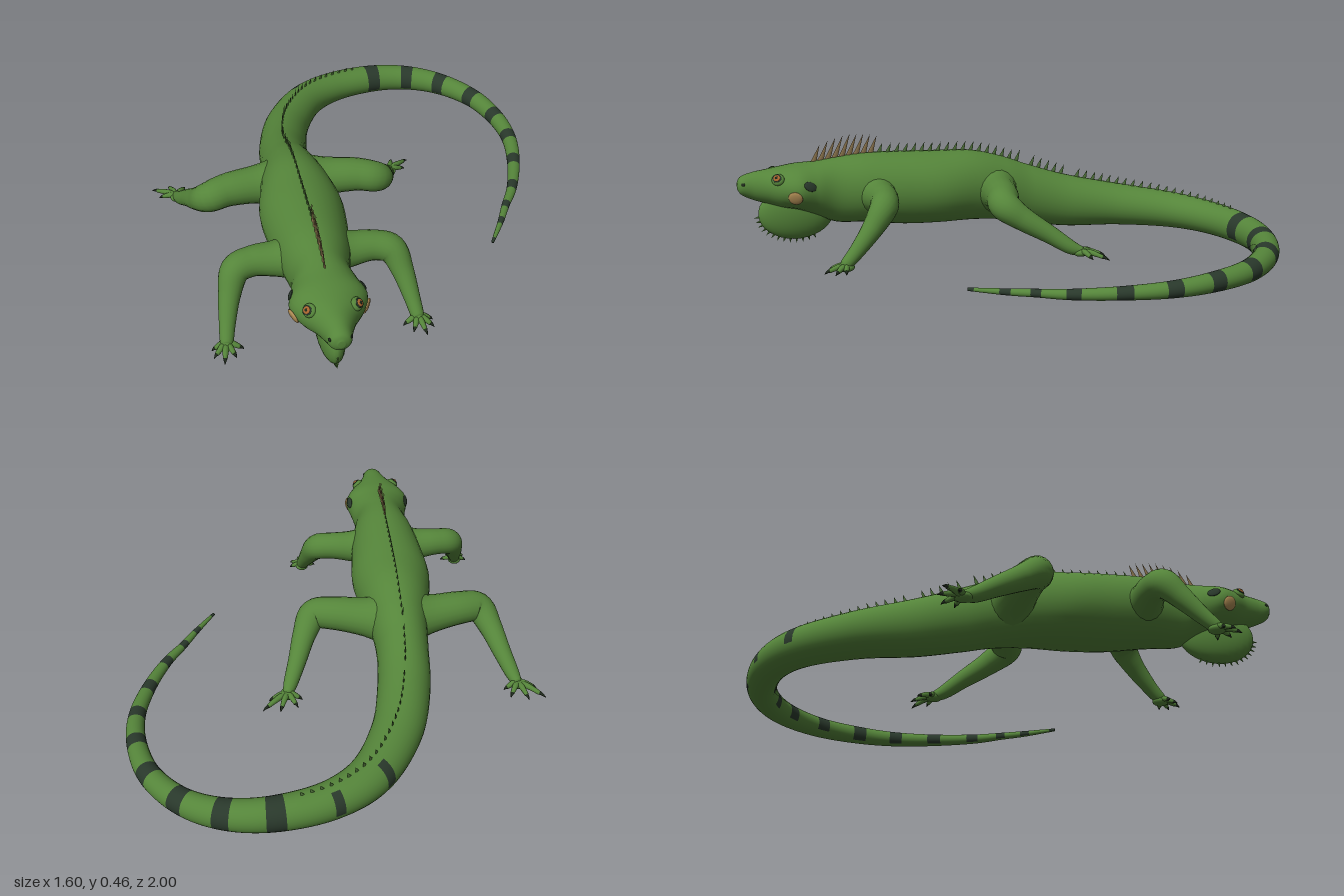
import * as THREE from 'three';
import { mergeGeometries } from 'three/addons/utils/BufferGeometryUtils.js';

const AXIS = -0.25; // x of the body's plane of symmetry
const UP = new THREE.Vector3(0, 1, 0);

const material = (name, color) => {
  const m = new THREE.MeshStandardMaterial({ color });
  m.name = name;
  return m;
};

// Smooth path through stations [x, y, z, halfWidth, halfHeight]; u counts stations
function makePath(stations, flat) {
  const n = stations.length - 1;
  const mid = new THREE.CatmullRomCurve3(stations.map(s => new THREE.Vector3(s[0], s[1], s[2])), false, 'catmullrom');
  const size = new THREE.CatmullRomCurve3(stations.map(s => new THREE.Vector3(s[3], s[4] ?? s[3], 0)), false, 'catmullrom');
  const frame = u => {
    const t = mid.getTangent(u / n);
    if (flat) t.setY(0).normalize();
    const side = new THREE.Vector3().crossVectors(UP, t).normalize();
    return { c: mid.getPoint(u / n), r: size.getPoint(u / n), t, side, up: new THREE.Vector3().crossVectors(t, side) };
  };
  const surface = (u, a) => {
    const f = frame(u);
    return f.c.addScaledVector(f.side, Math.cos(a) * f.r.x).addScaledVector(f.up, Math.sin(a) * f.r.y);
  };
  return { n, frame, surface };
}

// Closed skin round a path; isDark(u, angle) picks the second material
function skin(path, steps, sides, isDark) {
  const pos = [], lists = [[], []], rows = path.n * steps;
  for (let i = 0; i <= rows; i++)
    for (let j = 0; j < sides; j++) pos.push(...path.surface(i / steps, j / sides * Math.PI * 2).toArray());
  for (let i = 0; i < rows; i++)
    for (let j = 0; j < sides; j++) {
      const k = (j + 1) % sides, a = i * sides + j, b = i * sides + k;
      const dark = isDark && isDark((i + 0.5) / steps, (j + 0.5) / sides * Math.PI * 2);
      lists[dark ? 1 : 0].push(a, b, b + sides, a, b + sides, a + sides);
    }
  const start = pos.length / 3, last = rows * sides;
  pos.push(...path.frame(0).c.toArray(), ...path.frame(path.n).c.toArray());
  for (let j = 0; j < sides; j++) {
    const k = (j + 1) % sides;
    lists[0].push(start, k, j);
    lists[isDark ? 1 : 0].push(start + 1, last + j, last + k);
  }
  const g = new THREE.BufferGeometry();
  g.setAttribute('position', new THREE.Float32BufferAttribute(pos, 3));
  g.setIndex([...lists[0], ...lists[1]]);
  if (isDark) {
    g.addGroup(0, lists[0].length, 0);
    g.addGroup(lists[0].length, lists[1].length, 1);
  }
  g.computeVertexNormals();
  return g;
}

export function createModel() {
  const root = new THREE.Group();
  root.name = 'lizard';
  const green = material('skin green', 0x55853a);
  const dark = material('band dark green', 0x29382b);
  const claw = material('claw black green', 0x1f2a1c);
  const tan = material('cheek tan', 0xb08d55);
  const brown = material('crest brown', 0x86704a);
  const olive = material('crest olive', 0x4d7038);
  const amber = material('eye amber', 0xa8652f);

  const add = (name, geometry, mat, parent = root) => {
    const m = new THREE.Mesh(geometry, mat);
    m.name = name;
    parent.add(m);
    return m;
  };

  // Head, trunk and tail; every tail station from FIRST on is the centre of a band
  const FIRST = 16;
  const trunk = [
    [.28, 1, .012, .014], [.28, .985, .036, .036], [.275, .94, .05, .055], [.27, .885, .075, .068],
    [.265, .83, .112, .08], [.262, .77, .135, .09], [.25, .7, .12, .107], [.237, .62, .108, .13],
    [.237, .5, .13, .14], [.225, .35, .15, .148], [.218, .2, .158, .148], [.213, .05, .135, .145],
    [.19, -.08, .112, .135], [.155, -.2, .101, .125],
  ].map(s => [AXIS, ...s]);
  const tail = [
    [-.235, .116, -.37, .1, .11], [-.185, .094, -.58, .094, .089], [-.075, .079, -.78, .082, .075],
    [.075, .071, -.89, .07, .067], [.27, .066, -.936, .061, .062], [.44, .06, -.918, .054, .056],
    [.585, .053, -.84, .047, .049], [.7, .047, -.7, .042, .042], [.757, .042, -.53, .037, .037],
    [.768, .036, -.365, .032, .031], [.735, .03, -.195, .027, .025], [.675, .024, -.03, .021, .02],
    [.61, .021, .085, .016, .015], [.56, .02, .18, .012, .012], [.49, .02, .297, .006, .006],
  ];
  const body = makePath([...trunk, ...tail], true);
  const banded = (u, a) => {
    const k = Math.round(u);
    if (k < FIRST) return false;
    if (k < FIRST + 2) return Math.abs(u - k) < 0.1 && Math.sin(a) > -0.2 && Math.cos(a) > 0.3;
    return Math.abs(u - k) < 0.19 && Math.sin(a) > (k < FIRST + 6 ? -0.55 : -0.85);
  };
  add('bodyAndTail', skin(body, 12, 32, banded), [green, dark]);

  // Crest of thin spikes leaning back along the spine
  const crest = { neck: [], back: [] };
  let previous = null;
  for (let u = 6; u < 17.6; u += 0.01) {
    const p = body.surface(u, Math.PI / 2);
    const gap = u < 8.2 ? 0.028 : 0.034;
    if (previous && p.distanceTo(previous) < gap) continue;
    previous = p;
    if ((u > 12.6 && u < 12.85) || (u > 13.95 && u < 14.1)) continue;
    const neck = u < 8.3;
    const h = neck ? 0.075 + 0.025 * Math.sin((u - 6) / 2.3 * Math.PI) : u < 12.5 ? 0.048 : 0.058 - (u - 12.5) * 0.006;
    const g = new THREE.ConeGeometry(1, h, 4).translate(0, h / 2 - 0.012, 0).scale(0.004, 1, neck ? 0.014 : 0.013);
    const q = g.attributes.position;
    for (let i = 0; i < q.count; i++) q.setZ(i, q.getZ(i) + 0.4 * q.getY(i));
    g.computeVertexNormals();
    const t = body.frame(u).t;
    crest[neck ? 'neck' : 'back'].push(g.rotateY(Math.atan2(t.x, t.z)).translate(p.x, p.y, p.z));
  }
  add('neckCrest', mergeGeometries(crest.neck), brown);
  add('backCrest', mergeGeometries(crest.back), olive);

  // Throat flap with a fringe of small spikes
  const flap = add('throatFlap', new THREE.SphereGeometry(1, 28, 20), green);
  flap.scale.set(0.05, 0.11, 0.15);
  flap.position.set(AXIS, 0.158, 0.775);
  const fringe = [];
  for (let i = 0; i < 13; i++) {
    const a = -0.1 - i * 0.16;
    fringe.push(new THREE.ConeGeometry(0.008, 0.03, 4).scale(0.5, 1, 1).rotateX(Math.PI / 2 - a)
      .translate(AXIS, 0.158 + 0.113 * Math.sin(a), 0.775 + 0.153 * Math.cos(a)));
  }
  add('throatFringe', mergeGeometries(fringe), green);

  // Flat oval laid on the skin of the head
  const patch = (name, u, a, rx, ry, depth, mat, lift = 0) => {
    const e = 0.02, p = body.surface(u, a);
    const normal = new THREE.Vector3().crossVectors(
      body.surface(u, a + e).sub(body.surface(u, a - e)),
      body.surface(u + e, a).sub(body.surface(u - e, a))).normalize();
    const m = add(name, new THREE.SphereGeometry(1, 20, 12), mat);
    m.scale.set(rx, ry, depth);
    m.position.copy(p).addScaledVector(normal, lift);
    m.quaternion.setFromUnitVectors(new THREE.Vector3(0, 0, 1), normal);
  };

  // Tapered toe ending in a claw
  const toe = (parent, from, to, s) => {
    const at = (f, y, r) => [AXIS + s * (from[0] + (to[0] - from[0]) * f), y, from[1] + (to[1] - from[1]) * f, r];
    add('toe', skin(makePath([at(0, .02, .013), at(.35, .024, .012), at(.78, .014, .008)]), 4, 8), green, parent);
    add('claw', skin(makePath([at(.72, .015, .008), at(.85, .013, .006), at(1, .005, .001)]), 3, 6), claw, parent);
  };

  const limbs = [
    { name: 'frontLeg', palm: [.347, .65],
      path: [[.06, .225, .47, .085], [.14, .226, .467, .066], [.22, .23, .47, .056], [.285, .215, .49, .054],
        [.315, .15, .54, .041], [.335, .075, .605, .03], [.345, .03, .65, .024], [.348, .02, .67, .014]],
      toes: [[.288, .672], [.318, .712], [.362, .735], [.396, .7], [.4, .66]] },
    { name: 'hindLeg', palm: [.45, -.255],
      path: [[.04, .195, -.03, .11], [.13, .203, -.022, .078], [.25, .21, .0, .066], [.33, .197, .015, .06],
        [.37, .15, -.045, .047], [.405, .09, -.14, .036], [.435, .04, -.215, .028], [.45, .022, -.26, .018]],
      toes: [[.393, -.278], [.412, -.325], [.48, -.345], [.547, -.335], [.522, -.277]] },
  ];

  for (const s of [1, -1]) {
    const label = s > 0 ? 'left' : 'right';
    const angle = y => (s > 0 ? Math.PI - Math.asin(y) : Math.asin(y)); // height on the head, -1 to 1

    // Face details
    patch(label + 'EyeSocket', 3.6, angle(.58), .026, .024, .014, green);
    patch(label + 'EyeRim', 3.6, angle(.58), .019, .017, .004, dark, .012);
    patch(label + 'Iris', 3.6, angle(.58), .014, .013, .005, amber, .014);
    patch(label + 'Pupil', 3.6, angle(.58), .006, .006, .004, claw, .017);
    patch(label + 'EarPatch', 5.5, angle(.28), .026, .018, .006, dark);
    patch(label + 'CheekScale', 4.6, angle(-.25), .028, .028, .008, tan);
    patch(label + 'Nostril', 1.15, angle(.3), .008, .006, .003, claw);

    // Legs and feet
    for (const limb of limbs) {
      const leg = new THREE.Group();
      leg.name = label + limb.name[0].toUpperCase() + limb.name.slice(1);
      root.add(leg);
      const path = makePath(limb.path.map(([x, ...rest]) => [AXIS + s * x, ...rest]));
      add('leg', skin(path, 6, 20), green, leg);
      const palm = add('palm', new THREE.SphereGeometry(1, 16, 10), green, leg);
      palm.scale.set(.028, .017, .032);
      palm.position.set(AXIS + s * limb.palm[0], .019, limb.palm[1]);
      for (const tip of limb.toes) toe(leg, limb.palm, tip, s);
    }
  }
  return root;
}
